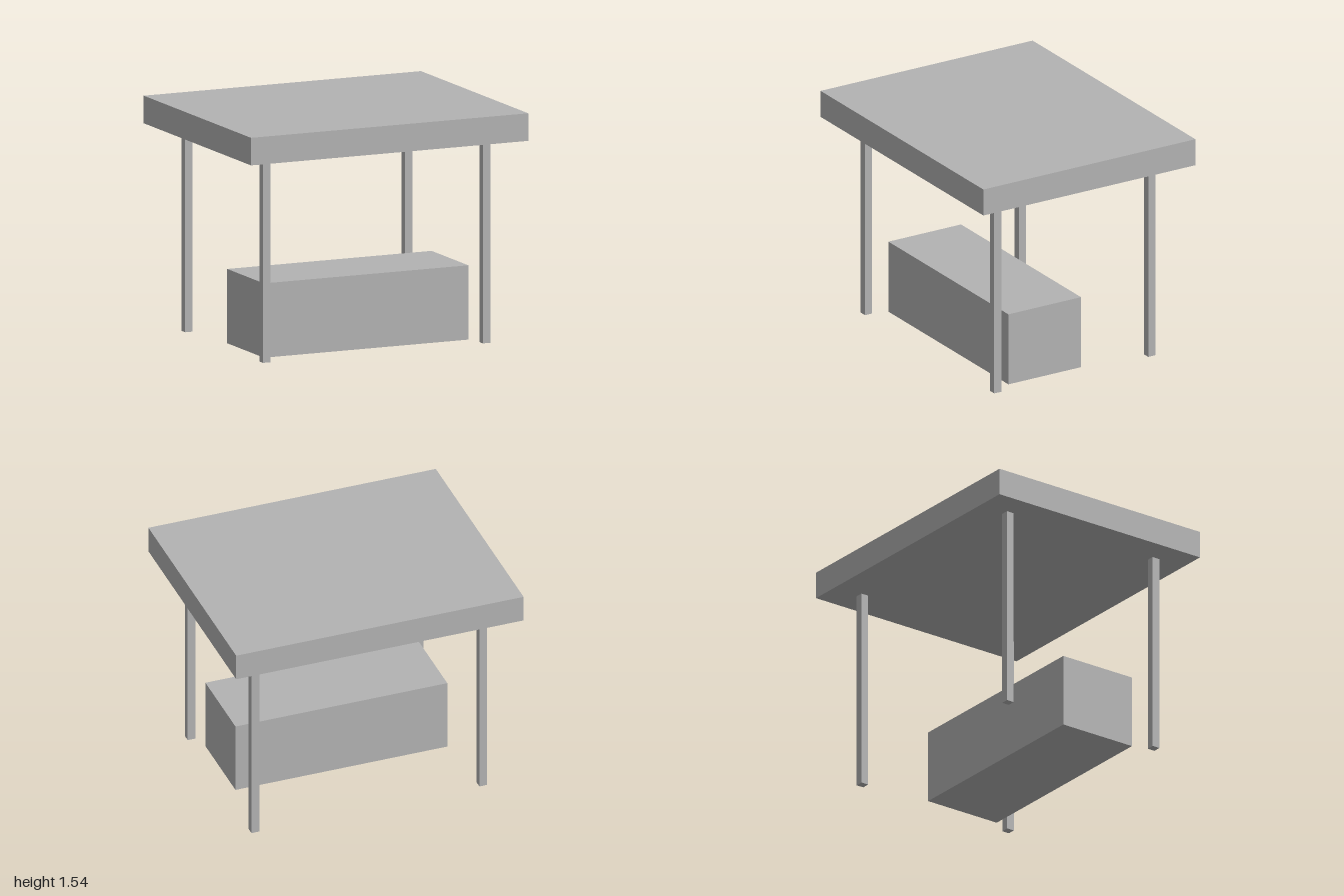
import * as THREE from 'three';

export function createModel() {
  const model = new THREE.Group();
  const grey = new THREE.MeshStandardMaterial({ color: 0xb2b2b2 });
  grey.name = 'plain grey';

  // Box standing on height y
  function addBox(name, width, height, depth, x, y, z) {
    const mesh = new THREE.Mesh(new THREE.BoxGeometry(width, height, depth), grey);
    mesh.name = name;
    mesh.position.set(x, y + height / 2, z);
    model.add(mesh);
  }

  const roofBottom = 1.358;
  const postWidth = 0.054;

  // Flat slab roof
  addBox('roof', 2, 0.183, 1.63, 0, roofBottom, 0);

  // Four square corner posts
  for (const [side, x] of [['Left', 0.793], ['Right', -0.793]]) {
    for (const [end, z] of [['front', 0.592], ['back', -0.592]]) {
      addBox(`${end}${side}Post`, postWidth, roofBottom, postWidth, x, 0, z);
    }
  }

  // Counter block, set towards the front
  addBox('counter', 1.474, 0.493, 0.558, 0, 0, 0.179);

  return model;
}
